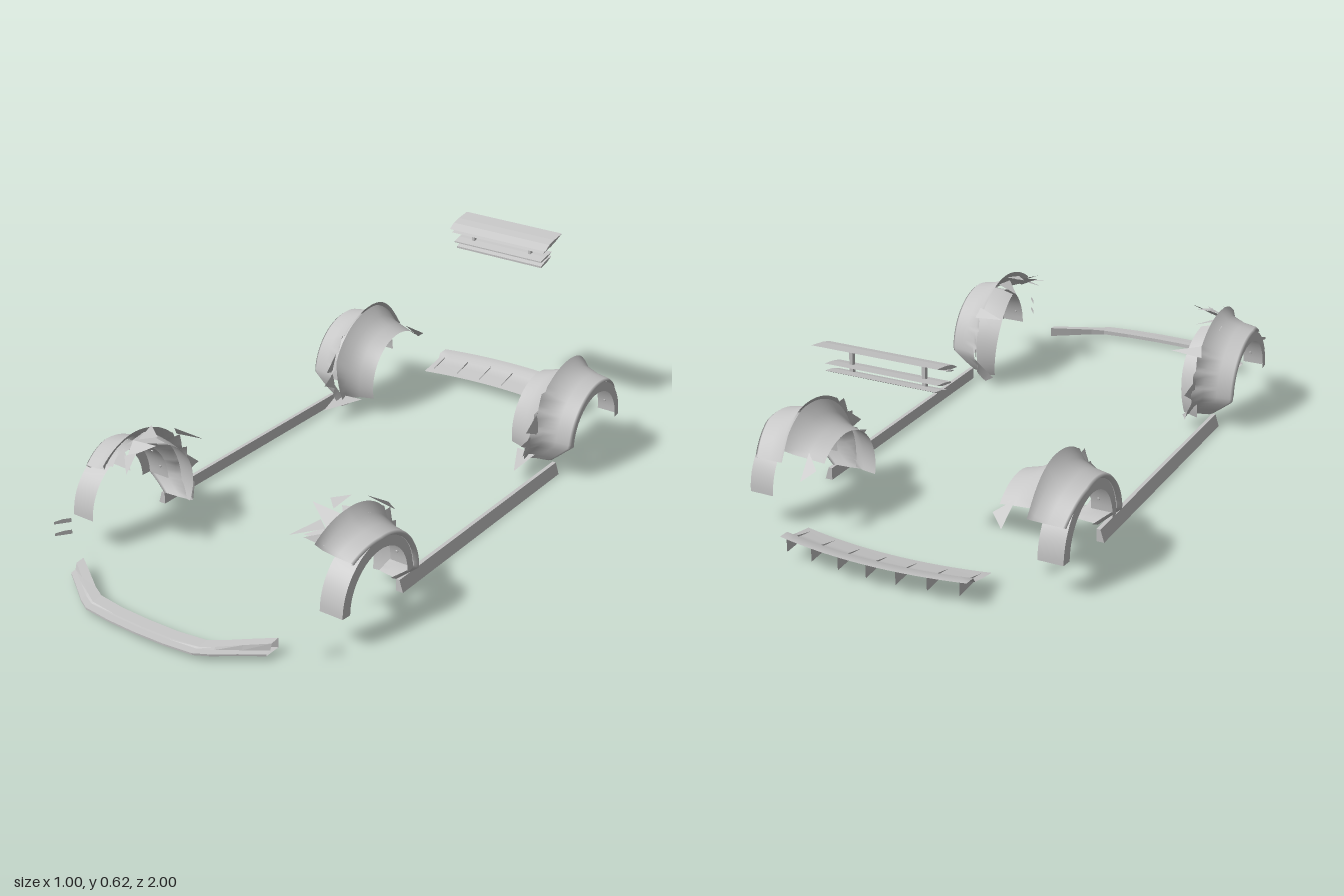
import * as THREE from 'three';

const grey = new THREE.MeshStandardMaterial({ color: 0xc6c6c6, side: THREE.DoubleSide });
grey.name = 'primer grey';

function part(name, geometry, parent) {
  const mesh = new THREE.Mesh(geometry, grey);
  mesh.name = name;
  parent.add(mesh);
  return mesh;
}

// Surface through rows of [x, y, z] points
function loft(rows, flat = false) {
  const w = rows[0].length, index = [];
  for (let i = 0; i < rows.length - 1; i++) {
    for (let j = 0; j < w - 1; j++) {
      const a = i * w + j, b = a + w;
      index.push(a, b, a + 1, a + 1, b, b + 1);
    }
  }
  let g = new THREE.BufferGeometry();
  g.setAttribute('position', new THREE.Float32BufferAttribute(rows.flat(2), 3));
  g.setIndex(index);
  if (flat) g = g.toNonIndexed();
  g.computeVertexNormals();
  return g;
}

// Surface swept round a wheel centre; profile(u) gives [x, radius] points
function sweep(zc, from, to, steps, profile) {
  const rows = [];
  for (let i = 0; i <= steps; i++) {
    const u = i / steps, a = THREE.MathUtils.degToRad(from + (to - from) * u);
    rows.push(profile(u, i).map(([x, r]) => [x, 0.1 + r * Math.sin(a), zc + r * Math.cos(a)]));
  }
  return loft(rows);
}

function triangles(list) {
  const g = new THREE.BufferGeometry();
  g.setAttribute('position', new THREE.Float32BufferAttribute(list.flat(), 3));
  g.computeVertexNormals();
  return g;
}

// Solid with a constant outline
function prism(points, depth) {
  const shape = new THREE.Shape(points.map(p => new THREE.Vector2(...p)));
  return new THREE.ExtrudeGeometry(shape, { depth, bevelEnabled: false });
}

function wheelArch(zc, name, parent) {
  const arch = new THREE.Group();
  arch.name = name;
  parent.add(arch);
  part('archBand', sweep(zc, 0, 180, 28, () => [[0.41, 0.165], [0.485, 0.165]]), arch);
  part('archFace', sweep(zc, 0, 180, 28, () => [[0.485, 0.165], [0.488, 0.135]]), arch);
  // Small fasteners under the band
  for (let i = 0; i < 7; i++) {
    const a = Math.PI * (i + 0.5) / 7;
    const bolt = part('fastener', new THREE.CylinderGeometry(0.004, 0.004, 0.004, 8), arch);
    bolt.position.set(0.435, 0.1 + 0.162 * Math.sin(a), zc + 0.162 * Math.cos(a));
    bolt.rotation.x = Math.PI / 2 - a;
  }
}

// Flared fender skin: u = 0 is the low end behind or ahead of the wheel
function flare(zc, low, high, endShrink) {
  return sweep(zc, low, high, 40, (u, i) => {
    const pull = 0.07 * Math.max(0, 1 - u / 0.13) + 0.02 * Math.max(0, u - 0.75) * 4;
    const s = 1 - endShrink * THREE.MathUtils.smoothstep(u, 0.7, 1);
    const jag = u < 0.45 ? (i * 5 % 4) * 0.006 - 0.004 : 0;
    return [[0.487, 0.165], [0.5, 0.174], [0.492, 0.18], [0.45, 0.187], [0.41, 0.203], [0.385, 0.23 + jag]]
      .map(([x, r]) => [x - pull * (x > 0.4 ? 1 : 0.4), 0.165 + (r - 0.165) * s]);
  });
}

function sideParts(parent) {
  // Front corner
  wheelArch(0.55, 'frontWheelArch', parent);
  part('frontFlare', flare(0.55, 199, 52, 0), parent);
  part('frontLiner', sweep(0.55, 199, 105, 20, u =>
    [[0.41 - 0.02 * (1 - u), 0.205], [0.37, 0.2], [0.34 - 0.012 * Math.sin(u * 3), 0.19]]), parent);
  // Torn inner edge of the front fender
  part('frontTornEdge', triangles([
    [0.39, 0.31, 0.50], [0.32, 0.29, 0.49], [0.39, 0.30, 0.58],
    [0.38, 0.31, 0.56], [0.28, 0.325, 0.57], [0.36, 0.28, 0.61],
    [0.38, 0.30, 0.60], [0.31, 0.27, 0.65], [0.37, 0.28, 0.66],
    [0.36, 0.29, 0.62], [0.29, 0.28, 0.69], [0.33, 0.30, 0.60],
    [0.36, 0.34, 0.50], [0.31, 0.328, 0.53], [0.35, 0.325, 0.57],
    [0.39, 0.27, 0.67], [0.34, 0.29, 0.69], [0.40, 0.29, 0.60],
    [0.40, 0.24, 0.35], [0.30, 0.25, 0.345], [0.39, 0.27, 0.37],
    [0.39, 0.17, 0.33], [0.37, 0.13, 0.29], [0.39, 0.10, 0.33],
  ]), parent);

  // Rear corner
  wheelArch(-0.65, 'rearWheelArch', parent);
  part('rearFlare', flare(-0.65, -16, 146, 0.55), parent);
  part('rearLiner', sweep(-0.65, -14, 136, 28, u => {
    const end = 0.03 * Math.max(0, u - 0.75) * 4;
    return [[0.388 - 0.04 * Math.max(0, 1 - u * 4), 0.22 - end], [0.36, 0.188 - end / 2],
      [0.32, 0.165], [0.272, 0.152]];
  }), parent);
  // Torn edges of the rear fender
  part('rearTornEdge', triangles([
    [0.305, 0.06, -0.48], [0.37, 0.05, -0.35], [0.385, 0.07, -0.45],
    [0.39, 0.22, -0.45], [0.385, 0.17, -0.39], [0.40, 0.15, -0.44],
    [0.38, 0.10, -0.43], [0.38, 0.13, -0.37], [0.39, 0.15, -0.43],
    [0.32, 0.23, -0.76], [0.272, 0.20, -0.80], [0.31, 0.17, -0.825],
  ]), parent);

  // Side skirt, narrower along its top
  const skirt = part('sideSkirt',
    prism([[0.43, 0.005], [0.453, 0.005], [0.441, 0.043], [0.429, 0.043]], 0.875), parent);
  skirt.position.z = -0.49;

  // Two small upright bumper blades
  for (const y of [0.1, 0.138]) {
    part('bumperBlade', loft([[[0.44, y, 0.84], [0.44, y + 0.008, 0.84]],
      [[0.425, y, 0.82], [0.425, y + 0.013, 0.82]], [[0.41, y, 0.80], [0.41, y + 0.013, 0.80]]]), parent);
  }
}

function splitter(parent) {
  // Half plan: x, rear edge, front edge, lip height
  const half = [[0, 0.933, 0.995, 0.032], [0.1, 0.93, 0.992, 0.032], [0.19, 0.92, 0.982, 0.034],
    [0.23, 0.9, 0.96, 0.038], [0.29, 0.86, 0.916, 0.044], [0.352, 0.82, 0.872, 0.05]];
  const plan = [...half.slice(1).reverse().map(([x, ...r]) => [-x, ...r]), ...half];
  part('frontSplitter', loft(plan.map(([x, b, f, h]) => {
    const m = b + (f - b) * 0.55;
    return [[x, 0.02, b], [x, h, b], [x, h - 0.003, m], [x, 0.028, m + 0.006],
      [x, 0.026, f], [x, 0.02, f], [x, 0.02, b]];
  }), true), parent);
}

function diffuser(parent) {
  const rearEdge = x => -1 + 0.4 * x * x;
  const rows = [];
  for (let i = 0; i <= 16; i++) {
    const x = -0.285 + 0.57 * i / 16, z = rearEdge(x);
    rows.push([[x, 0.04, z + 0.135], [x, 0.05, z + 0.08], [x, 0.058, z + 0.045],
      [x, 0.074, z + 0.035], [x, 0.076, z]]);
  }
  part('diffuserPanel', loft(rows), parent);
  for (let i = -3; i <= 3; i++) {
    const x = i * 0.088, z = rearEdge(x);
    part('diffuserFin', triangles([[x, 0.04, z + 0.13], [x, 0.034, z + 0.005], [x, 0.074, z + 0.005],
      [x, 0.04, z + 0.13], [x, 0.074, z + 0.005], [x, 0.056, z + 0.05]]), parent);
  }
}

function wing(parent) {
  const g = new THREE.Group();
  g.name = 'rearWing';
  parent.add(g);
  // Solid blade: half width, then outline as [z, y]
  const blade = (name, w, outline) => {
    const mesh = part(name, prism(outline, w * 2), g);
    mesh.rotation.y = -Math.PI / 2;
    mesh.position.x = w;
  };
  blade('mainPlane', 0.184, [[-0.815, 0.597], [-0.84, 0.612], [-0.87, 0.62], [-0.92, 0.628],
    [-0.885, 0.614], [-0.85, 0.603]]);
  blade('mainPlaneFlap', 0.175, [[-0.815, 0.587], [-0.83, 0.592], [-0.86, 0.6], [-0.83, 0.588]]);
  blade('middleBlade', 0.167, [[-0.82, 0.556], [-0.85, 0.564], [-0.89, 0.57], [-0.86, 0.559], [-0.82, 0.552]]);
  blade('lowerBlade', 0.163, [[-0.83, 0.536], [-0.86, 0.547], [-0.895, 0.553], [-0.87, 0.54], [-0.83, 0.53]]);
  for (const x of [-0.108, 0.108]) {
    part('wingStrut', new THREE.BoxGeometry(0.01, 0.07, 0.012), g).position.set(x, 0.57, -0.85);
  }
}

export function createModel() {
  const model = new THREE.Group();
  model.name = 'carBodyKit';
  for (const [name, s] of [['leftSide', 1], ['rightSide', -1]]) {
    const side = new THREE.Group();
    side.name = name;
    side.scale.x = s;
    sideParts(side);
    model.add(side);
  }
  splitter(model);
  diffuser(model);
  wing(model);
  return model;
}
